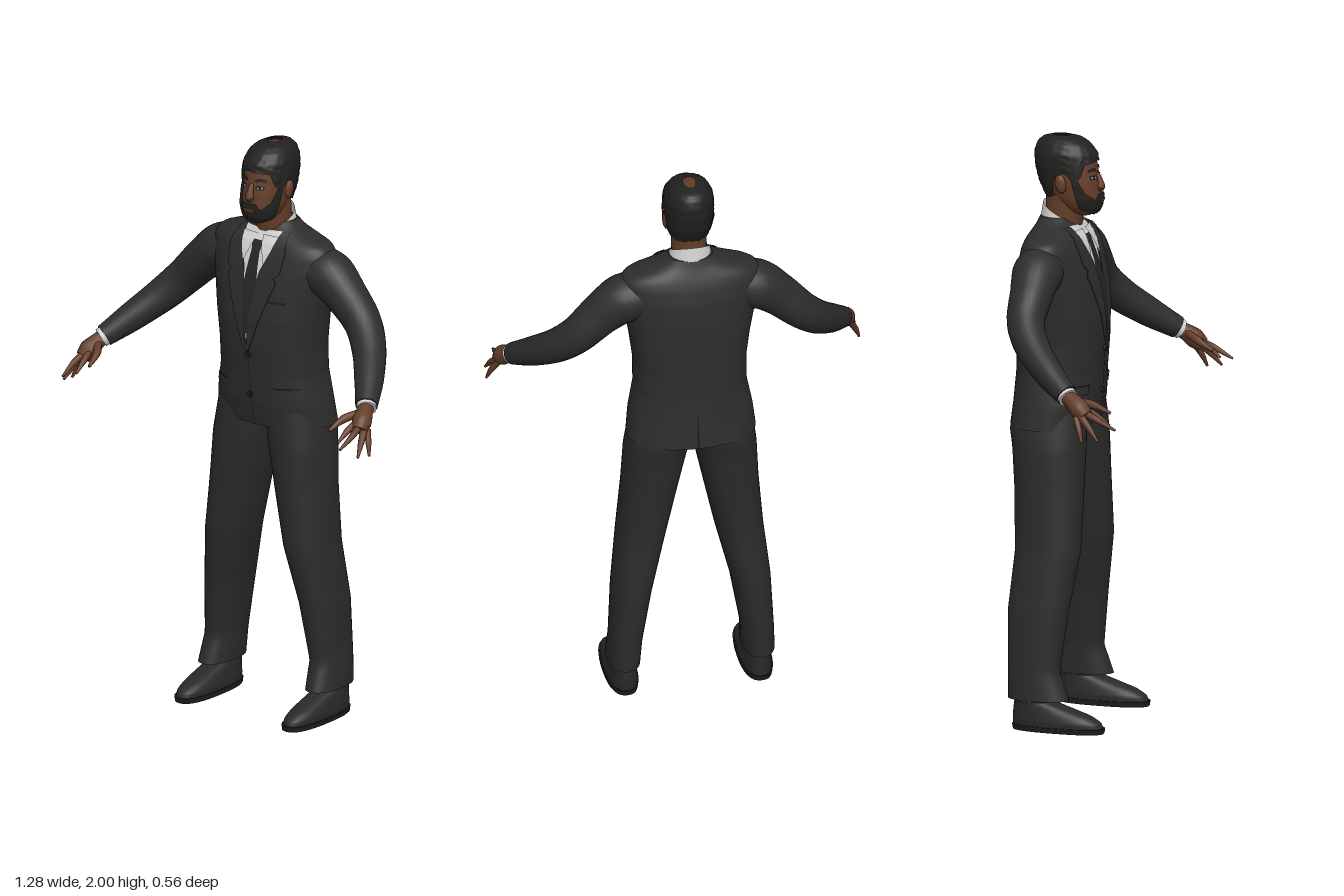
import * as THREE from 'three';

const mat = (name, color, side = THREE.FrontSide) => {
  const m = new THREE.MeshStandardMaterial({ color, side });
  m.name = name;
  return m;
};
const V = (x, y, z) => new THREE.Vector3(x, y, z);

// Surface from a rule: fn(u, v) gives a point; closed joins u = 1 to u = 0
function grid(fn, nu, nv, closed = false, caps = false) {
  const pos = [], idx = [], cols = closed ? nu : nu + 1;
  for (let j = 0; j <= nv; j++)
    for (let i = 0; i < cols; i++) pos.push(...fn(i / nu, j / nv).toArray());
  for (let j = 0; j < nv; j++)
    for (let i = 0; i < nu; i++) {
      const a = j * cols + i, b = j * cols + (i + 1) % cols;
      idx.push(a, b, b + cols, a, b + cols, a + cols);
    }
  if (caps) for (const v of [0, 1]) {
    const base = pos.length / 3, mid = V(0, 0, 0);
    for (let i = 0; i < nu; i++) {
      const p = fn(i / nu, v);
      mid.addScaledVector(p, 1 / nu);
      pos.push(...p.toArray());
    }
    pos.push(...mid.toArray());
    for (let i = 0; i < nu; i++) {
      const a = base + i, b = base + (i + 1) % nu;
      idx.push(...(v ? [a, b, base + nu] : [b, a, base + nu]));
    }
  }
  const g = new THREE.BufferGeometry();
  g.setAttribute('position', new THREE.Float32BufferAttribute(pos, 3));
  g.setIndex(idx);
  g.computeVertexNormals();
  return g;
}

// Linear lookup in rows that are sorted by their first number
function at(rows, y) {
  let i = 0;
  while (i < rows.length - 2 && y > rows[i + 1][0]) i++;
  const a = rows[i], b = rows[i + 1];
  const t = THREE.MathUtils.clamp((y - a[0]) / (b[0] - a[0]), 0, 1);
  return a.map((n, k) => n + (b[k] - n) * t);
}
const pow = (s, n) => Math.sign(s) * Math.abs(s) ** (2 / n);

// Point on a body of rows [y, cx, cz, rx, rz]; angle 0 is the front
function onBody(rows, ang, y, n = 2, off = 0) {
  const [, cx, cz, rx, rz] = at(rows, y);
  return V(cx + (rx + off) * pow(Math.sin(ang), n), y, cz + (rz + off) * pow(Math.cos(ang), n));
}
function body(rows, n = 2, nu = 40, nv = 40) {
  const y0 = rows[0][0], y1 = rows[rows.length - 1][0];
  return grid((u, v) => onBody(rows, u * 2 * Math.PI, y0 + (y1 - y0) * v, n), nu, nv, true, true);
}

// Tapered limb along points [x, y, z, radius]
function limb(pts, nu = 18, nv = 24) {
  const curve = new THREE.CatmullRomCurve3(pts.map(p => V(p[0], p[1], p[2])));
  const radii = pts.map((p, i) => [i / (pts.length - 1), p[3]]);
  return grid((u, v) => {
    const t = curve.getTangent(v), s = t.clone().cross(V(0, 1, 0.3)).normalize();
    const n = s.clone().cross(t), r = at(radii, v)[1], a = u * 2 * Math.PI;
    return curve.getPoint(v).addScaledVector(s, r * Math.sin(a)).addScaledVector(n, r * Math.cos(a));
  }, nu, nv, true, true);
}

const JACKET = [
  [1.02, 0, -.14, .22, .14], [1.1, 0, -.128, .211, .143], [1.2, 0, -.121, .192, .143],
  [1.3, 0, -.116, .192, .146], [1.4, 0, -.115, .205, .145], [1.5, 0, -.12, .222, .135],
  [1.58, 0, -.125, .24, .12], [1.63, 0, -.127, .242, .105], [1.66, 0, -.128, .225, .092],
  [1.68, 0, -.13, .17, .08], [1.7, 0, -.13, .11, .07], [1.725, 0, -.135, .075, .055]];
const HEAD = [
  [1.73, 0, -.04, .02, .02], [1.74, 0, -.045, .042, .045], [1.76, 0, -.055, .058, .066],
  [1.79, 0, -.067, .069, .083], [1.84, 0, -.082, .075, .094], [1.9, 0, -.095, .077, .096],
  [1.94, 0, -.1, .074, .092], [1.97, 0, -.108, .06, .074], [1.985, 0, -.112, .042, .052],
  [1.993, 0, -.115, .012, .016]];
const SUIT_N = 2.3;

// Thin plate on the jacket from rows [y, xLeft, xRight]; dir -1 lays it on the back
function plate(rows, off, dir = 1) {
  const y0 = rows[0][0], y1 = rows[rows.length - 1][0];
  return grid((u, v) => {
    const y = y0 + (y1 - y0) * v, [, a, b] = at(rows, y), x = a + (b - a) * u;
    const [, , cz, rx, rz] = at(JACKET, y);
    const d = Math.max(0, 1 - Math.abs(x / rx) ** SUIT_N) ** (1 / SUIT_N);
    return V(x, y, cz + dir * (rz * d + off));
  }, 8, 40);
}
const flip = rows => rows.map(([y, a, b]) => [y, -b, -a]);

export function createModel() {
  const D = THREE.DoubleSide;
  const suit = mat('suit cloth', 0x2d2d2e, D), trousers = mat('trouser cloth', 0x2b2b2c);
  const trim = mat('dark trim', 0x1d1d1e, D), tie = mat('tie cloth', 0x262628, D);
  const shirt = mat('shirt white', 0xd2d2d2, D), skin = mat('skin', 0x643d28, D);
  const hair = mat('hair', 0x222120, D), shoe = mat('shoe leather', 0x29292a);
  const eye = mat('eye white', 0x9a8c80);
  const model = new THREE.Group();
  const add = (name, geo, m, p) => {
    const mesh = new THREE.Mesh(geo, m);
    mesh.name = name;
    if (p) mesh.position.set(...p);
    model.add(mesh);
    return mesh;
  };

  // Jacket, shirt front and tie
  add('jacket', body(JACKET, SUIT_N, 72, 70), suit);
  add('shirtFront', plate([[1.33, -.003, .003], [1.5, -.024, .024], [1.58, -.037, .037],
    [1.64, -.062, .062], [1.7, -.075, .075]], .003), shirt);
  add('tie', plate([[1.35, -.006, .006], [1.48, -.03, .03], [1.61, -.019, .019],
    [1.63, -.017, .017], [1.665, -.026, .026]], .006), tie);
  add('shirtCollar', grid((u, v) => {
    const a = u * 2 * Math.PI, c = Math.cos(a);
    return V((.078 - .01 * v) * Math.sin(a), 1.688 + .05 * v - .035 * c, -.122 + (.07 - .008 * v) * c);
  }, 32, 3, true), shirt);
  const lapel = [[1.29, 0, .008], [1.42, .012, .055], [1.54, .028, .1], [1.555, .03, .085],
    [1.57, .033, .108], [1.64, .062, .115], [1.7, .076, .095]];
  const collarPoint = [[1.595, .042, .046], [1.64, .024, .062], [1.685, .012, .073]];
  const pocket = [[1.135, .1, .175], [1.165, .1, .175]];
  for (const f of [r => r, flip]) {
    add('lapelEdge', plate(f(lapel.map(([y, a, b]) => [y, a, b + .004])), .006), trim);
    add('lapel', plate(f(lapel), .009), suit);
    add('collarPoint', plate(f(collarPoint), .0085), shirt);
    add('pocketSlit', plate(f([[1.163, .1, .177], [1.169, .1, .177]]), .007), trim);
    add('pocketFlap', plate(f(pocket), .004), suit);
  }
  add('breastPocket', plate([[1.468, .08, .14], [1.477, .08, .14]], .004), trim);
  add('frontEdge', plate([[1.025, .012, .016], [1.29, 0, .004]], .003), trim);
  add('backVent', plate([[1.022, -.006, .006], [1.16, -.001, .001]], .003, -1), trim);
  for (const y of [1.275, 1.13]) {
    const b = add('button', new THREE.CylinderGeometry(.011, .011, .008, 16), trim, [.004, y, .031]);
    b.rotation.x = Math.PI / 2;
    b.position.z = onBody(JACKET, 0, y, SUIT_N).z + .004;
  }

  // Neck and head
  add('neck', body([[1.64, 0, -.12, .068, .06], [1.72, 0, -.113, .06, .064],
    [1.8, 0, -.105, .06, .07]], 2, 28, 6), skin);
  add('head', body(HEAD, 2.1, 40, 50), skin);

  // Hair shell: low at the nape, high over the forehead, with sideburns
  const hairLow = [[0, 1.918], [.75, 1.912], [1, 1.87], [1.3, 1.85], [1.5, 1.885], [1.8, 1.87],
    [2.1, 1.8], [Math.PI, 1.775]];
  add('hair', grid((u, v) => {
    const a = u * 2 * Math.PI, low = at(hairLow, Math.min(a, 2 * Math.PI - a))[1];
    const y = low + (1.993 - low) * Math.sin(v * Math.PI / 2);
    const bump = .0025 * Math.sin(a * 13 + y * 90) * Math.sin(y * 160 - a * 5);
    const p = onBody(HEAD, a, y, 2.1, .009 + bump * (1 - v));
    p.y += .007 * v;
    if (Math.cos(a) < 0) p.z += .014 * Math.cos(a);
    return p;
  }, 64, 28, true), hair);

  // Beard wraps the jaw and meets the sideburns
  const beardTop = [[0, 1.812], [.35, 1.81], [.55, 1.79], [.95, 1.815], [1.15, 1.865], [1.35, 1.87]];
  add('beard', grid((u, v) => {
    const a = (u * 2 - 1) * 1.35, top = at(beardTop, Math.abs(a))[1];
    const low = 1.732 + .03 * (Math.abs(a) / 1.35) ** 2;
    return onBody(HEAD, a, low + (top - low) * v, 2.1, .009);
  }, 40, 14), hair);
  const facePlate = (name, a0, a1, y0, y1, off, m, lift = 0) => add(name, grid((u, v) =>
    onBody(HEAD, a0 + (a1 - a0) * u, y0 + (y1 - y0) * v + lift * Math.sin(u * Math.PI), 2.1, off), 10, 3), m);
  facePlate('mouth', -.24, .24, 1.782, 1.791, .0115, skin);
  for (const s of [-1, 1]) {
    const c = s * .42;
    facePlate('eyebrow', c - .24, c + .24, 1.882, 1.892, .004, hair, .005);
    facePlate('eyeSocket', c - .19, c + .19, 1.857, 1.872, .002, trim);
    facePlate('eye', c - .13, c + .13, 1.861, 1.868, .004, eye);
    facePlate('iris', c - .05, c + .05, 1.86, 1.869, .006, trim);
    const ear = add('ear', new THREE.SphereGeometry(1, 14, 10), skin, [s * .078, 1.845, -.1]);
    ear.scale.set(.011, .032, .019);
    ear.rotation.x = -.2;
  }
  add('nose', limb([[0, 1.875, .002, .008], [0, 1.85, .012, .011], [0, 1.828, .016, .016],
    [0, 1.816, .012, .009]], 14, 14), skin);

  // Arms, hands and legs are mirrored
  const sides = (name, make, m) => {
    for (const s of [1, -1]) {
      const g = make(s);
      add((s > 0 ? 'left' : 'right') + name, g, m);
    }
  };
  const mx = (pts, s) => pts.map(([x, ...r]) => [x * s, ...r]);
  sides('Sleeve', s => limb(mx([[.16, 1.575, -.13, .082], [.23, 1.562, -.13, .085],
    [.3, 1.51, -.125, .073], [.38, 1.43, -.117, .064], [.44, 1.365, -.075, .059],
    [.51, 1.29, .012, .05], [.563, 1.233, .092, .038]], s), 24, 40), suit);
  sides('Cuff', s => limb(mx([[.55, 1.245, .075, .033], [.57, 1.226, .101, .034]], s), 18, 2), shirt);
  sides('Palm', s => limb(mx([[.56, 1.235, .085, .026], [.573, 1.218, .115, .028],
    [.585, 1.195, .145, .035], [.593, 1.172, .17, .026]], s), 14, 10), skin);
  const fingers = [
    [[.56, 1.215, .13, .014], [.53, 1.2, .175, .014], [.516, 1.172, .233, .005]],
    [[.574, 1.195, .155, .013], [.566, 1.172, .2, .011], [.562, 1.14, .245, .004]],
    [[.59, 1.185, .165, .013], [.597, 1.165, .21, .011], [.595, 1.132, .277, .004]],
    [[.603, 1.175, .155, .013], [.618, 1.14, .19, .011], [.632, 1.098, .226, .004]],
    [[.605, 1.17, .14, .012], [.624, 1.13, .158, .01], [.638, 1.09, .172, .004]]];
  for (const f of fingers) sides('Finger', s => limb(mx(f, s), 10, 10), skin);

  const stack = rows => s => rows.map(([y, x, ...r]) => [y, x * s, ...r]);
  const leg = stack([[.105, .23, -.125, .056, .105], [.2, .225, -.143, .056, .09],
    [.4, .203, -.135, .068, .105], [.6, .168, -.113, .082, .113], [.8, .138, -.118, .095, .118],
    [.95, .118, -.125, .107, .125], [1.01, .108, -.132, .108, .13], [1.1, .1, -.13, .1, .12]]);
  sides('TrouserLeg', s => body(leg(s), 2.2, 36, 44), trousers);
  sides('Ankle', s => body(stack([[.05, .23, -.15, .038, .05], [.16, .23, -.145, .04, .055]])(s), 2, 20, 2), skin);

  // Shoes: sole, then an upper that slopes back to the ankle
  sides('Sole', s => body(stack([[0, .23, -.053, .055, .16], [.018, .23, -.053, .057, .163]])(s), 2.5, 36, 1), trim);
  sides('Shoe', s => body(stack([[.016, .23, -.054, .053, .158], [.035, .23, -.058, .054, .155],
    [.055, .23, -.075, .05, .138], [.075, .23, -.105, .046, .106], [.098, .23, -.14, .042, .068]])(s), 2.4, 36, 14), shoe);
  return model;
}
